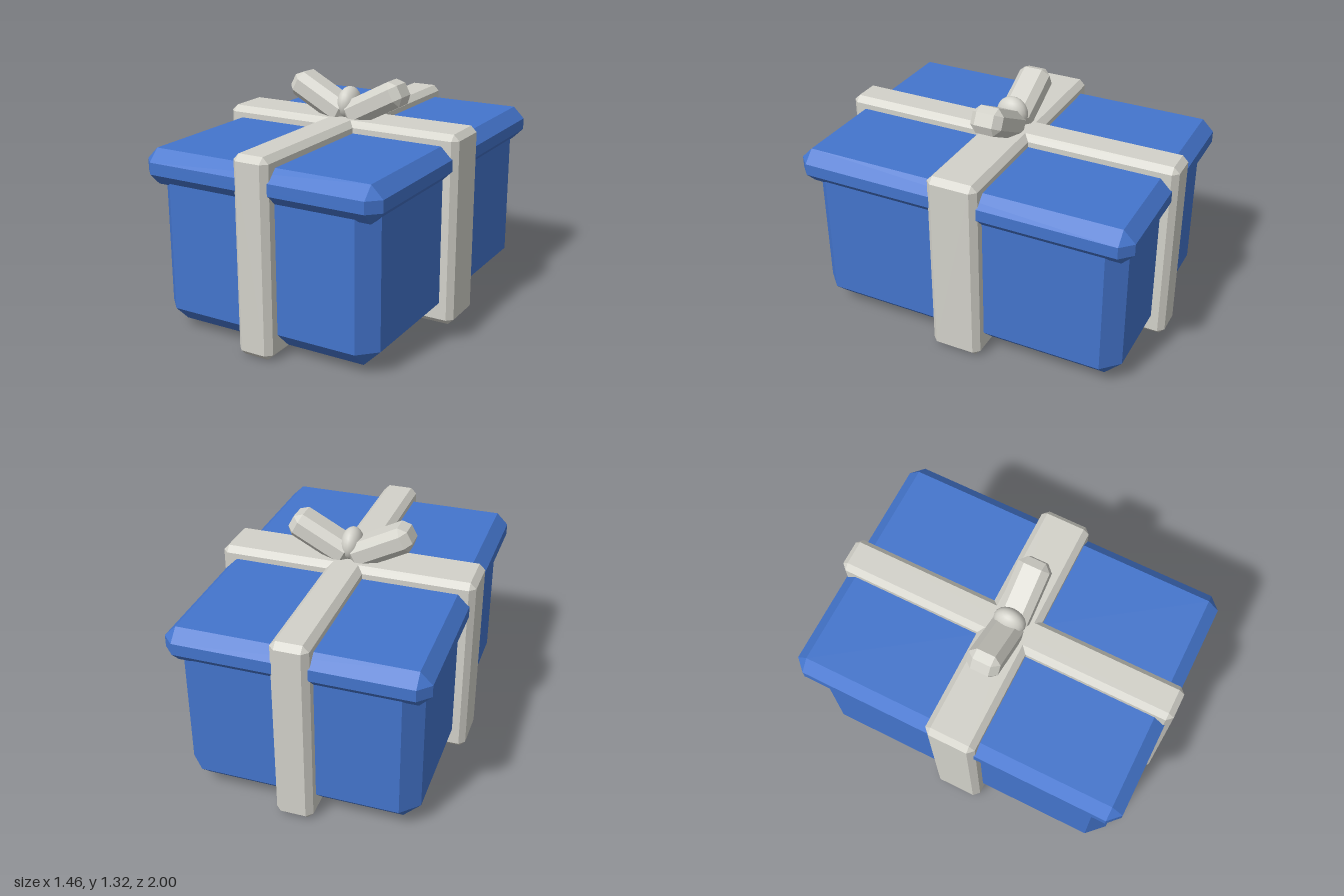
import * as THREE from 'three';
import { ConvexGeometry } from 'three/addons/geometries/ConvexGeometry.js';

// Box with every edge cut at 45 degrees
function chamferBox(w, h, d, c) {
  const half = [w / 2, h / 2, d / 2];
  const points = [];
  for (const sx of [-1, 1]) for (const sy of [-1, 1]) for (const sz of [-1, 1]) {
    for (let full = 0; full < 3; full++) {
      const p = half.map((v, axis) => (axis === full ? v : v - c));
      points.push(new THREE.Vector3(sx * p[0], sy * p[1], sz * p[2]));
    }
  }
  return new ConvexGeometry(points);
}

export function createModel() {
  const blue = new THREE.MeshStandardMaterial({ color: 0x4475cd });
  blue.name = 'blue paper';
  const silver = new THREE.MeshStandardMaterial({ color: 0xd3d2ca });
  silver.name = 'pale ribbon';

  const model = new THREE.Group();
  model.name = 'giftBox';

  const add = (name, geometry, material, x, y, z) => {
    const mesh = new THREE.Mesh(geometry, material);
    mesh.name = name;
    mesh.position.set(x, y, z);
    model.add(mesh);
    return mesh;
  };
  const block = (name, material, w, y0, y1, d, c) =>
    add(name, chamferBox(w, y1 - y0, d, c), material, 0, (y0 + y1) / 2, 0);

  // Box and overhanging lid
  block('boxBody', blue, 1.312, 0.036, 0.98, 1.846, 0.095);
  block('lid', blue, 1.414, 0.83, 1.028, 1.95, 0.066);

  // Crossed ribbons
  block('ribbonAcross', silver, 1.464, 0, 1.092, 0.292, 0.033);
  block('ribbonLengthwise', silver, 0.208, 0, 1.092, 2, 0.033);

  // Bow loops, rising outwards from the middle
  const angle = 0.485;
  const length = 0.385;
  for (const side of [1, -1]) {
    const loop = add(side > 0 ? 'bowLeft' : 'bowRight',
      chamferBox(length, 0.152, 0.184, 0.04), silver,
      side * Math.cos(angle) * length / 2, 1.09 + Math.sin(angle) * length / 2, 0);
    loop.rotation.z = side * angle;
  }

  // Knot
  const knot = add('bowKnot', new THREE.SphereGeometry(1, 20, 14), silver, 0, 1.16, 0);
  knot.scale.set(0.062, 0.095, 0.092);

  return model;
}
